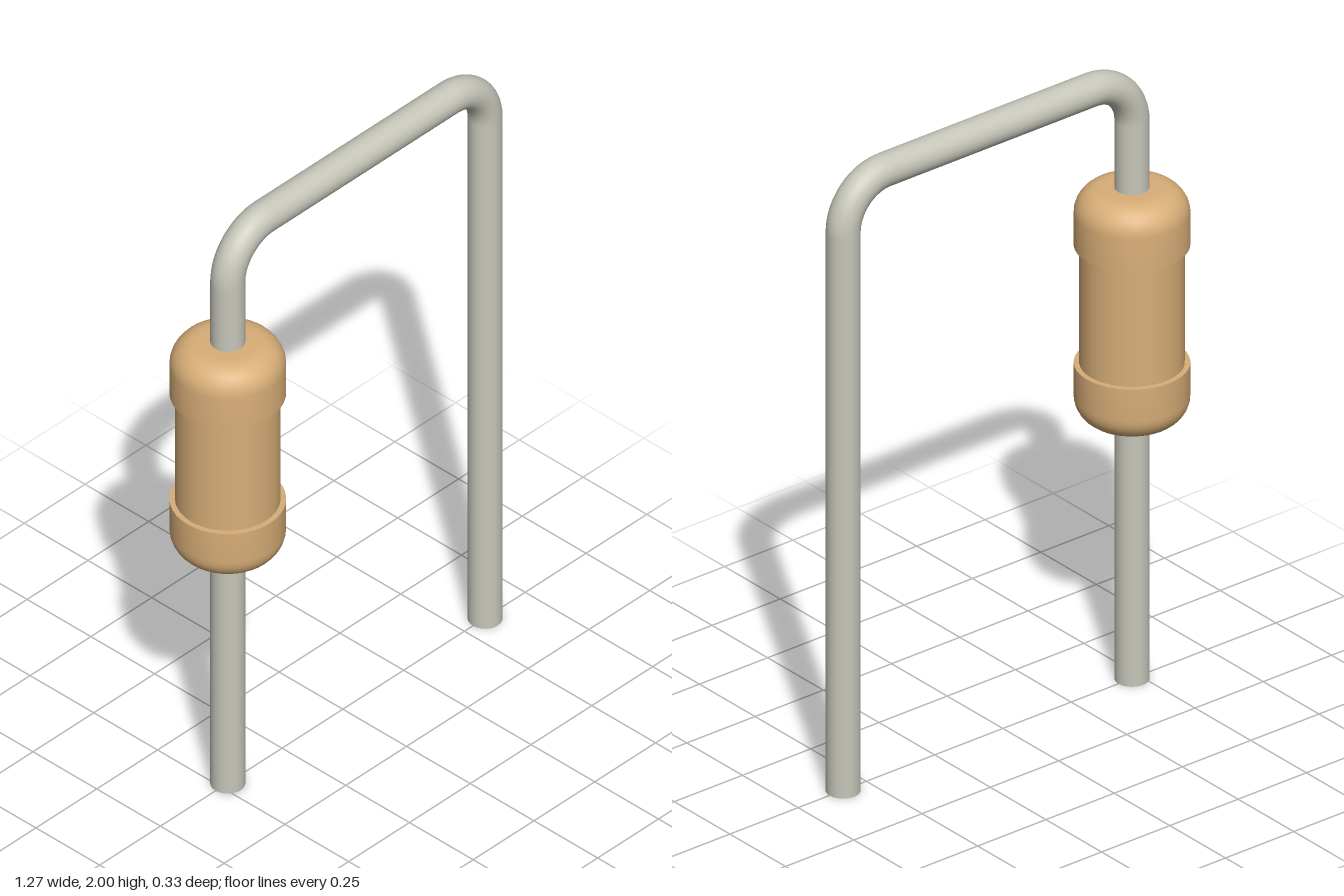
import * as THREE from 'three';
import { toCreasedNormals } from 'three/addons/utils/BufferGeometryUtils.js';

const LEAD_R = 0.05, BEND = 0.15, TOP = 1.95;
const LEFT = 0.585, RIGHT = -0.473;
const BODY_Y = 1.211, BODY_HALF = 0.374, BARREL_HALF = 0.19, BARREL_R = 0.15, CAP_R = 0.166, ROUND = 0.08;

export function createModel() {
  const group = new THREE.Group();
  const metal = new THREE.MeshStandardMaterial({ color: 0xc6c6ba });
  const shell = new THREE.MeshStandardMaterial({ color: 0xd8ae78 });

  const add = (parent, name, geometry, material, x, y) => {
    const mesh = new THREE.Mesh(geometry, material);
    mesh.name = name;
    mesh.position.set(x, y, 0);
    parent.add(mesh);
    return mesh;
  };

  // Bent wire: two legs, two quarter bends and a bridge
  const wire = new THREE.Group();
  wire.name = 'wireLead';
  group.add(wire);
  const legHeight = TOP - BEND;
  for (const [side, x, inward] of [['left', LEFT, -1], ['right', RIGHT, 1]]) {
    const leg = new THREE.CylinderGeometry(LEAD_R, LEAD_R, legHeight, 32);
    add(wire, side + 'Leg', leg, metal, x, legHeight / 2);
    const bend = new THREE.TorusGeometry(BEND, LEAD_R, 32, 16, Math.PI / 2);
    if (inward > 0) bend.rotateZ(Math.PI / 2);
    add(wire, side + 'Bend', bend, metal, x + inward * BEND, legHeight);
  }
  const bridge = new THREE.CylinderGeometry(LEAD_R, LEAD_R, LEFT - RIGHT - 2 * BEND, 32, 1, true);
  bridge.rotateZ(Math.PI / 2);
  add(wire, 'bridge', bridge, metal, (LEFT + RIGHT) / 2, TOP);

  // Body: a barrel between two rounded end caps
  const body = new THREE.Group();
  body.name = 'body';
  body.position.set(RIGHT, BODY_Y, 0);
  group.add(body);
  add(body, 'barrel', new THREE.CylinderGeometry(BARREL_R, BARREL_R, 2 * BARREL_HALF, 40, 1, true), shell, 0, 0);

  // Cap profile: step out from the barrel, straight wall, rounded shoulder, flat end
  const profile = [
    new THREE.Vector2(BARREL_R - 0.01, BARREL_HALF),
    new THREE.Vector2(CAP_R, BARREL_HALF),
  ];
  for (let i = 0; i <= 8; i++) {
    const a = (i / 8) * Math.PI / 2;
    profile.push(new THREE.Vector2(
      CAP_R - ROUND + ROUND * Math.cos(a),
      BODY_HALF - ROUND + ROUND * Math.sin(a)));
  }
  profile.push(new THREE.Vector2(LEAD_R - 0.01, BODY_HALF));
  const cap = toCreasedNormals(new THREE.LatheGeometry(profile, 40), 0.6);
  add(body, 'topCap', cap, shell, 0, 0);
  add(body, 'bottomCap', cap, shell, 0, 0).rotation.x = Math.PI;

  return group;
}
